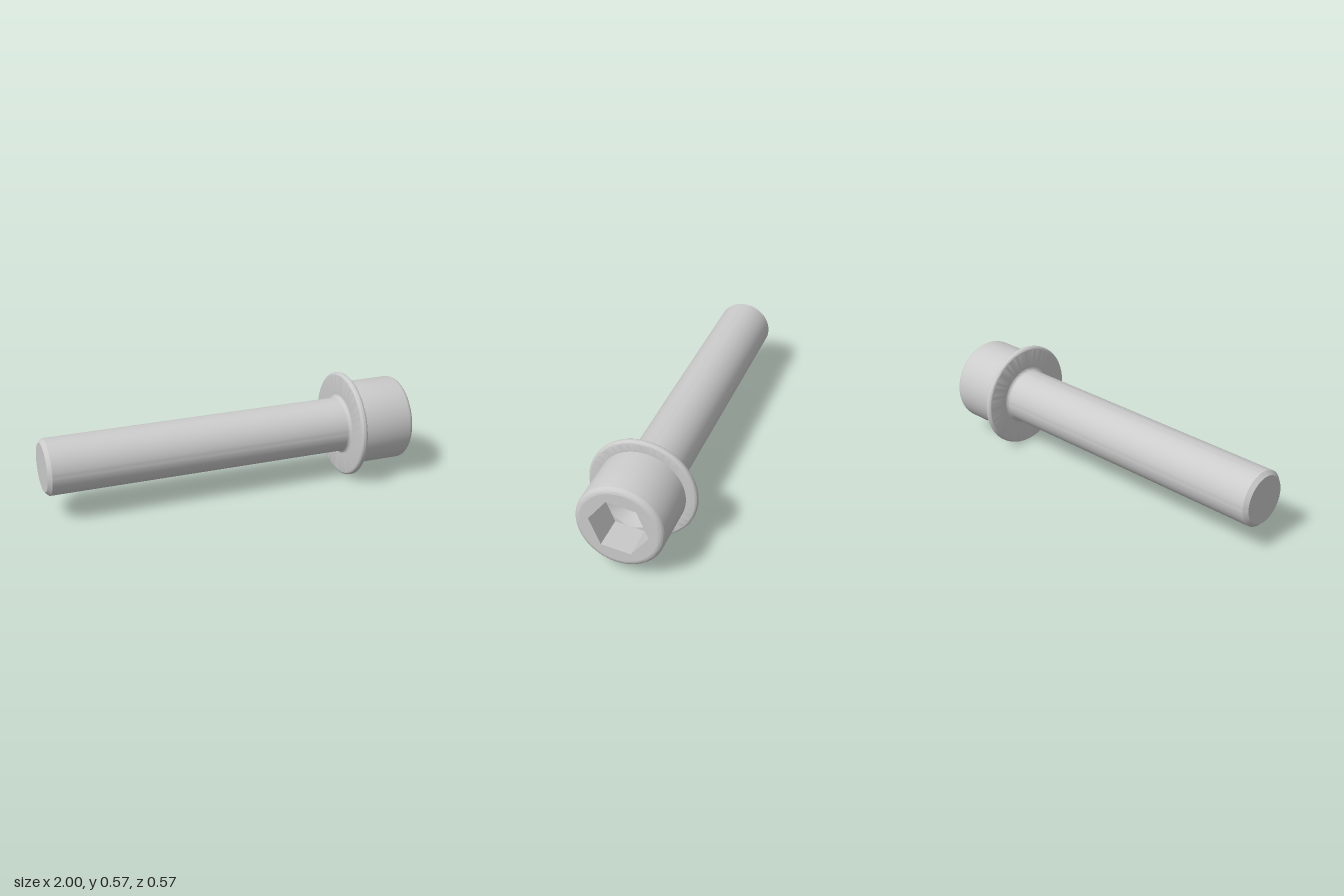
import * as THREE from 'three';
import { toCreasedNormals } from 'three/addons/utils/BufferGeometryUtils.js';

const SEG = 96;
const RADIUS = 0.283;      // flange radius, also the height of the axis
const HEX_R = 0.153;       // socket corner radius
const HEX_IN = HEX_R * Math.cos(Math.PI / 6);
const HEX_TURN = -7.5 * Math.PI / 180;
const FLOOR = 0.82;        // where the straight socket walls end

// Quarter-round profile points about (cx, cy) from angle a to b, in degrees
function arc(cx, cy, r, a, b, n = 8) {
  return Array.from({ length: n + 1 }, (_, i) => {
    const t = THREE.MathUtils.degToRad(a + (b - a) * i / n);
    return [cx + r * Math.cos(t), cy + r * Math.sin(t)];
  });
}

function lathe(points) {
  const geo = new THREE.LatheGeometry(points.map(p => new THREE.Vector2(...p)), SEG);
  return toCreasedNormals(geo, Math.PI / 6);
}

function hexPoints() {
  return Array.from({ length: 6 }, (_, i) => {
    const a = HEX_TURN - Math.PI / 2 + i * Math.PI / 3;
    return new THREE.Vector2(HEX_R * Math.cos(a), HEX_R * Math.sin(a));
  });
}

// Flat face at height y, looking along the bolt axis
function flatFace(shape, hole, y) {
  shape.holes.push(hole);
  return new THREE.ShapeGeometry(shape, SEG).rotateX(-Math.PI / 2).translate(0, y, 0);
}

export function createModel() {
  const model = new THREE.Group();
  model.name = 'flangedSocketBolt';
  const grey = new THREE.MeshStandardMaterial({ color: 0xcccccc });
  const faceted = new THREE.MeshStandardMaterial({ color: 0xcccccc, flatShading: true, side: THREE.DoubleSide });

  // The bolt is built along y, then laid along x with its head at +x
  const bolt = new THREE.Group();
  bolt.name = 'bolt';
  bolt.rotation.z = -Math.PI / 2;
  bolt.position.y = RADIUS;
  model.add(bolt);
  const add = (name, geo, mat = grey) => {
    const mesh = new THREE.Mesh(geo, mat);
    mesh.name = name;
    bolt.add(mesh);
  };

  // Shank with chamfered tip and a fillet under the flange
  add('shank', lathe([
    [0, -1], [0.127, -1], [0.147, -0.98], ...arc(0.165, 0.64, 0.018, 180, 90),
  ]));

  // Flange with rounded rim
  const rim = 0.016;
  add('flange', lathe([
    [0.165, 0.658],
    ...arc(RADIUS - rim, 0.658 + rim, rim, -90, 0),
    ...arc(RADIUS - rim, 0.695 - rim, rim, 0, 90),
    [0.226, 0.695],
  ]));

  // Head side with rounded top edge
  add('headSide', lathe([[0.226, 0.695], ...arc(0.196, 0.97, 0.03, 0, 90)]));

  // Head face around the hexagonal opening
  add('headFace', flatFace(
    new THREE.Shape().absarc(0, 0, 0.196, 0, Math.PI * 2),
    new THREE.Path(hexPoints()), 1));

  // Socket walls
  add('socketWalls', new THREE.CylinderGeometry(HEX_R, HEX_R, 1 - FLOOR, 6, 1, true, HEX_TURN)
    .translate(0, (1 + FLOOR) / 2, 0), faceted);

  // Corner ledges of the socket floor and the drilled cone
  add('socketLedge', flatFace(
    new THREE.Shape(hexPoints()),
    new THREE.Path().absarc(0, 0, HEX_IN - 0.0005, 0, Math.PI * 2), FLOOR));
  add('socketCone', new THREE.LatheGeometry([
    new THREE.Vector2(HEX_IN, FLOOR),
    new THREE.Vector2(0.03, FLOOR - 0.059),
    new THREE.Vector2(0, FLOOR - 0.0765),
  ], SEG));

  return model;
}
